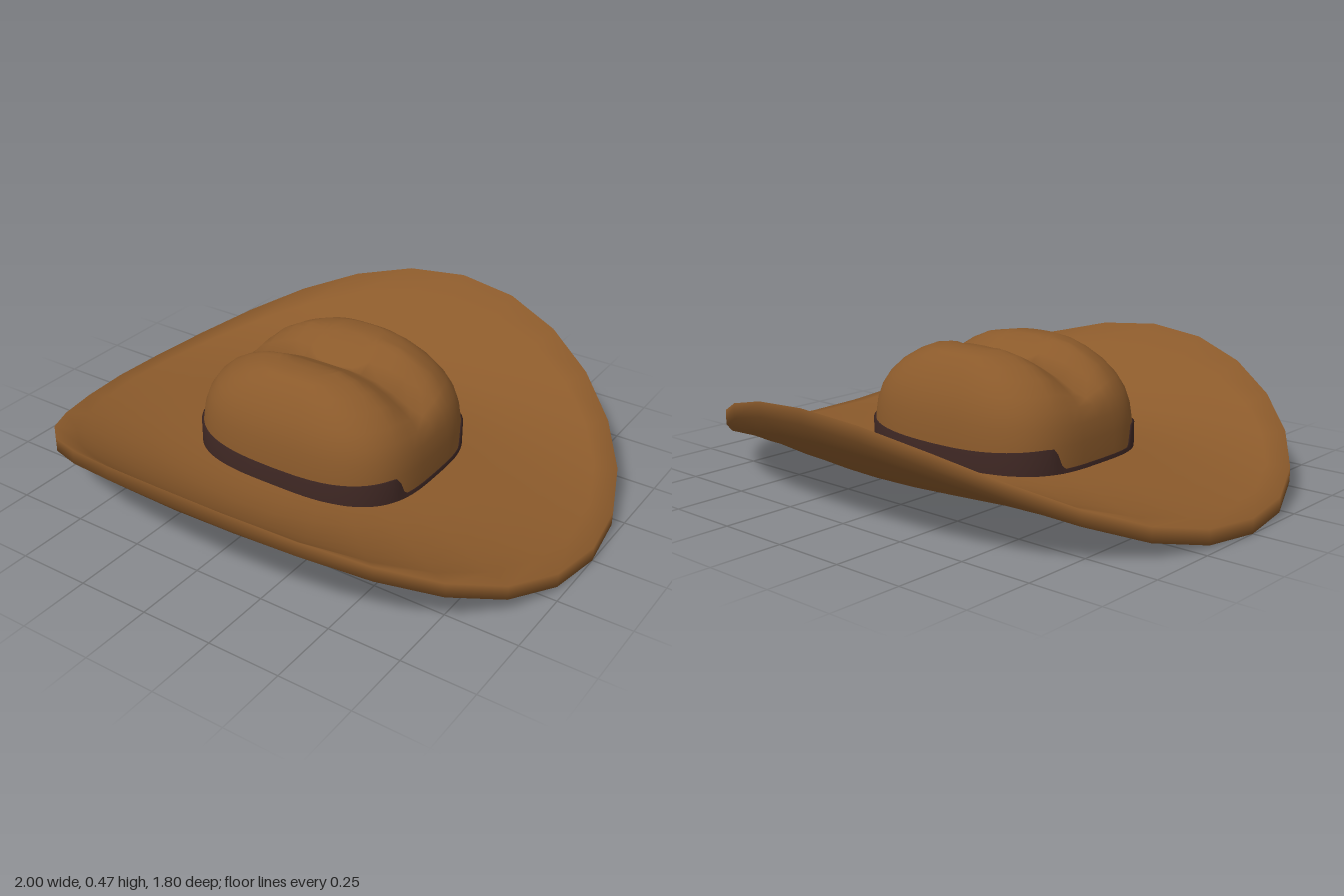
import * as THREE from 'three';

const felt = new THREE.MeshStandardMaterial({ color: 0x8b5a2b });
felt.name = 'brown felt';
const ribbon = new THREE.MeshStandardMaterial({ color: 0x3e2723, side: THREE.DoubleSide });
ribbon.name = 'dark ribbon';

// Skin closed rings together; point(ring, angle) returns [x, y, z]
function loft(name, material, rings, segments, point) {
  const positions = [], index = [];
  rings.forEach((ring, i) => {
    for (let j = 0; j < segments; j++) {
      positions.push(...point(ring, (j / segments) * Math.PI * 2));
      if (i === rings.length - 1) continue;
      const a = i * segments + j, b = i * segments + ((j + 1) % segments);
      index.push(a, a + segments, b, b, a + segments, b + segments);
    }
  });
  const geometry = new THREE.BufferGeometry();
  geometry.setAttribute('position', new THREE.Float32BufferAttribute(positions, 3));
  geometry.setIndex(index);
  geometry.computeVertexNormals();
  const mesh = new THREE.Mesh(geometry, material);
  mesh.name = name;
  return mesh;
}

// Rounded-rectangle outline (superellipse)
const bend = (v) => (Math.abs(v) < 1e-9 ? 0 : Math.sign(v) * Math.abs(v) ** (2 / 3.2));
const outline = (rx, rz, angle) => [rx * bend(Math.cos(angle)), rz * bend(Math.sin(angle))];

// Brim: oval sheet that curls up at front and back and droops at the sides
function brim() {
  const radii = [0.36, 0.42, 0.5, 0.59, 0.67, 0.76, 0.845, 0.92, 1];
  const rings = [
    ...radii.map((r) => ({ r, lift: 0 })),
    ...radii.slice().reverse().map((r) => ({ r, lift: 0.05 })),
  ];
  return loft('brim', felt, rings, 28, ({ r, lift }, angle) => {
    const t = Math.max(0, (r - 0.42) / 0.58);
    const curl = 0.345 * Math.abs(Math.sin(angle)) ** 2.25 - 0.061;
    return [r * Math.cos(angle), 0.063 + lift + t * t * curl, 0.9 * r * Math.sin(angle)];
  });
}

// Crown: rings of [height, x radius, z radius], with a crease running side to side
function crown() {
  const rings = [
    [0.025, 0.42, 0.354], [0.12, 0.42, 0.354], [0.2, 0.417, 0.352], [0.26, 0.408, 0.346],
    [0.31, 0.39, 0.335], [0.355, 0.36, 0.317], [0.4, 0.31, 0.292], [0.435, 0.25, 0.264],
    [0.458, 0.19, 0.24], [0.47, 0.12, 0.215], [0.471, 0.11, 0.17], [0.471, 0.1, 0.13],
    [0.471, 0.09, 0.085], [0.471, 0.07, 0.04], [0.471, 0, 0],
  ];
  return loft('crown', felt, rings, 64, ([y, rx, rz], angle) => {
    const [x, z] = outline(rx, rz, angle);
    const depth = 0.07 * THREE.MathUtils.smoothstep(y, 0.29, 0.42);
    return [x, y - depth * Math.max(0, 1 - Math.abs(z) / 0.13), z];
  });
}

// Flat underside closing the crown
function crownBase() {
  return loft('crownBase', felt, [0, 1], 64, (s, angle) => {
    const [x, z] = outline(0.42 * s, 0.354 * s, angle);
    return [x, 0.025, z];
  });
}

// Hat band: tall across the front and back, narrow along the sides
function band() {
  const rings = [[0, 0], [0, 0.004], [0.5, 0.004], [1, 0.004], [1, -0.004]];
  return loft('hatBand', ribbon, rings, 128, ([h, out], angle) => {
    const [x, z] = outline(0.42 + out, 0.354 + out, angle);
    const wrap = THREE.MathUtils.smoothstep(Math.abs(z), 0.17, 0.21);
    const top = 0.126 + wrap * (0.05 + 0.025 * (x / 0.42) ** 2);
    return [x, 0.025 + h * (top - 0.025), z];
  });
}

export function createModel() {
  const hat = new THREE.Group();
  hat.name = 'wideBrimHat';
  hat.add(brim(), crown(), crownBase(), band());
  return hat;
}
